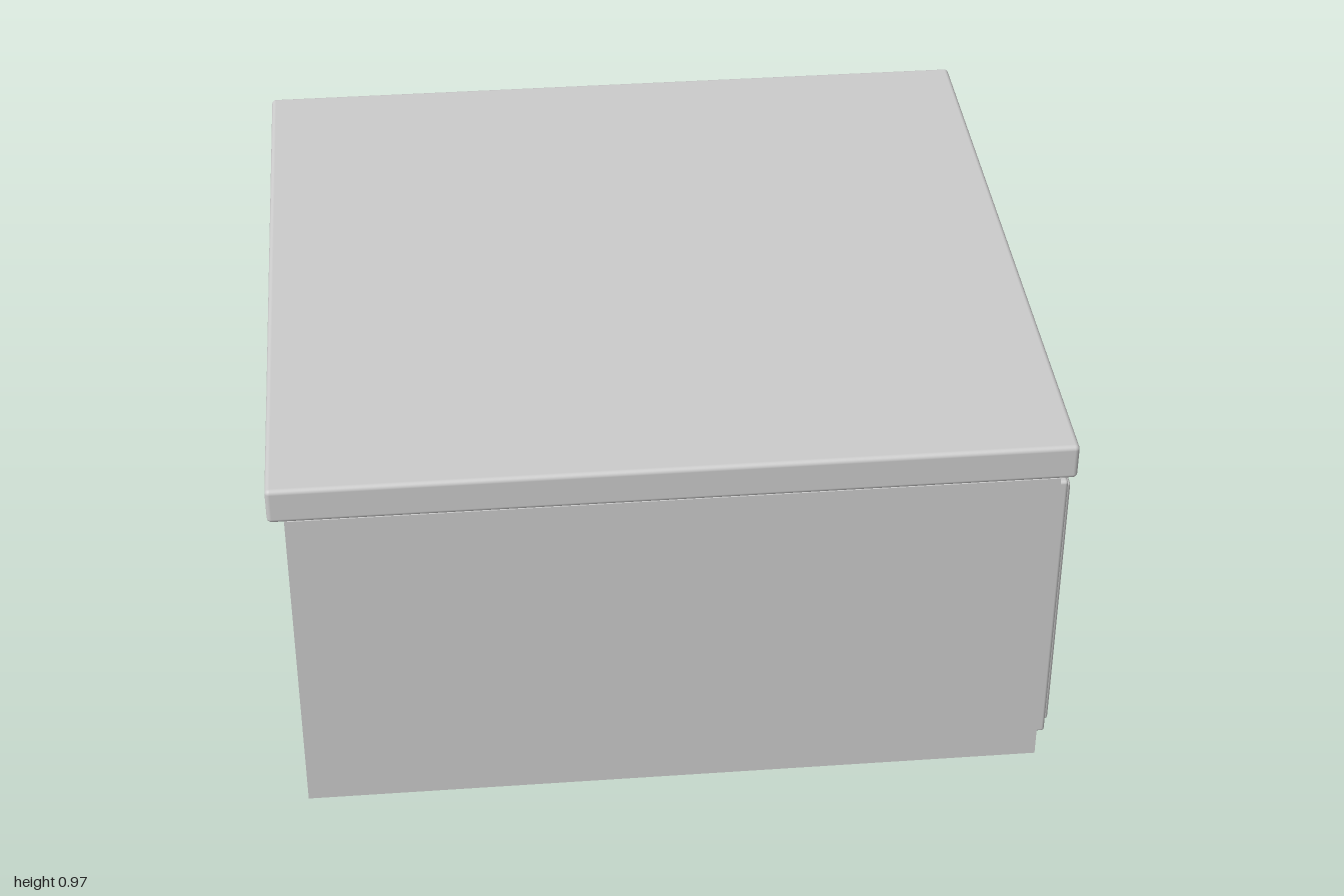
import * as THREE from 'three';
import { RoundedBoxGeometry } from 'three/addons/geometries/RoundedBoxGeometry.js';

const material = new THREE.MeshStandardMaterial({ color: 0xcccccc });

export function createModel() {
  const model = new THREE.Group();
  model.name = 'cabinet';

  const add = (name, geometry, x, y, z) => {
    const mesh = new THREE.Mesh(geometry, material);
    mesh.name = name;
    mesh.position.set(x, y, z);
    model.add(mesh);
    return mesh;
  };
  // Box given by its x and y limits and its centre and width along z
  const slab = (name, x0, x1, y0, y1, z, width, radius = 0) => {
    const size = [x1 - x0, y1 - y0, width];
    const geometry = radius
      ? new RoundedBoxGeometry(...size, 3, radius)
      : new THREE.BoxGeometry(...size);
    return add(name, geometry, (x0 + x1) / 2, (y0 + y1) / 2, z);
  };

  // Carcass and overhanging top
  slab('body', -0.96, 0.893, 0, 0.878, 0, 1.85);
  slab('top', -1, 0.933, 0.876, 0.97, 0, 1.854, 0.012);

  // Door backing with eight raised planks
  slab('doorPanel', 0.87, 0.922, 0.04, 0.84, 0, 1.78, 0.008);
  const planks = 8, pitch = 0.22;
  for (let i = 0; i < planks; i++) {
    const z = (i - (planks - 1) / 2) * pitch;
    slab('doorPlank', 0.895, 0.933, 0.062, 0.82, z, 0.2, 0.008);
  }

  // Pair of slightly oval knobs
  for (const side of [1, -1]) {
    const knob = add('knob', new THREE.SphereGeometry(1, 32, 20), 0.948, 0.488, side * 0.115);
    knob.scale.set(0.052, 0.055, 0.05);
  }

  return model;
}
